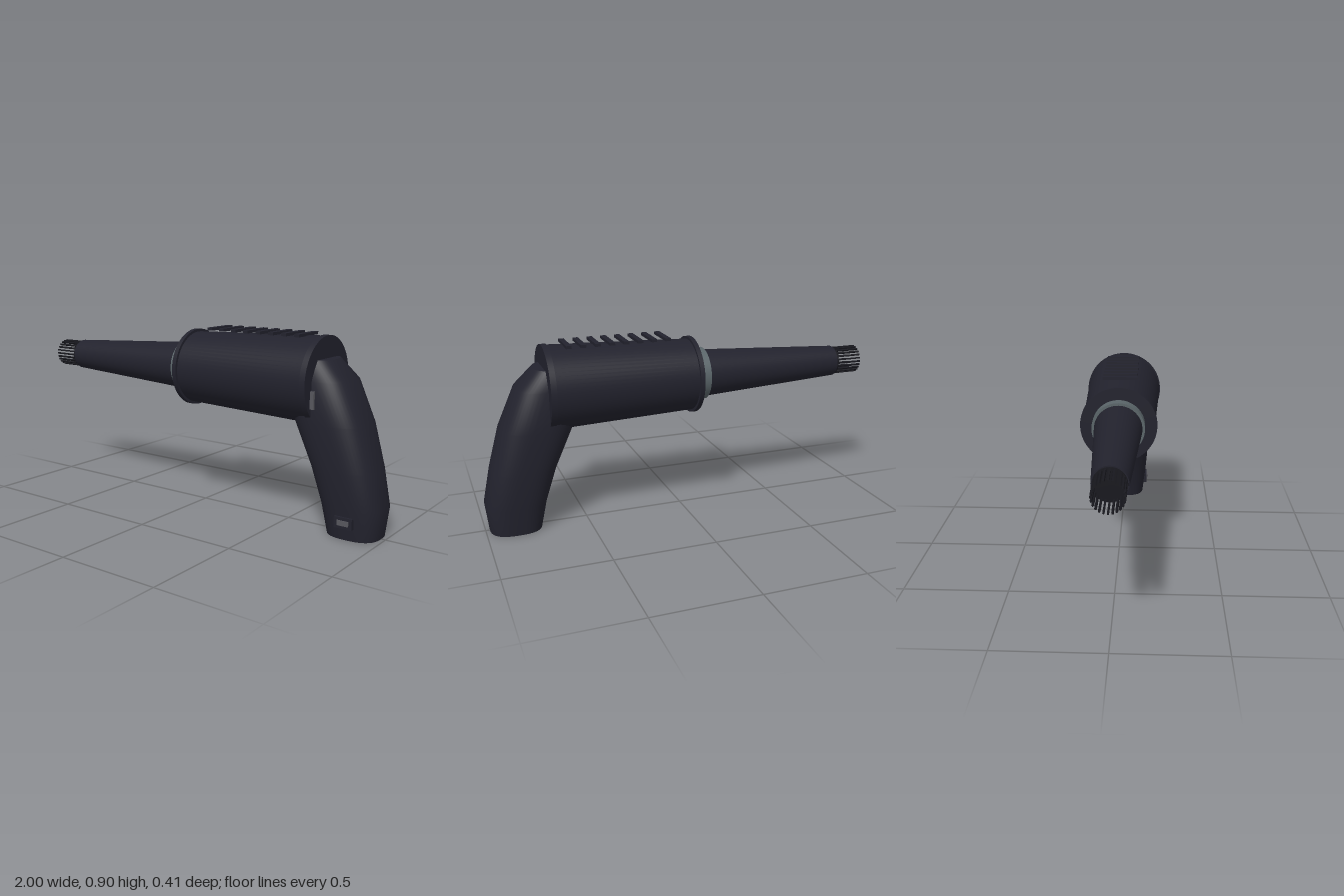
import * as THREE from 'three';

const mat = (name, color) => {
  const m = new THREE.MeshStandardMaterial({ color });
  m.name = name;
  return m;
};

const AXIS_Y = 0.687; // height of the barrel axis

export function createModel() {
  const root = new THREE.Group();
  root.name = 'hotAirTool';
  const shell = mat('dark shell', 0x22222d);
  const black = mat('black metal', 0x18181e);
  const collarGrey = mat('collar grey', 0x5a6569);
  const switchGrey = mat('switch grey', 0x56565c);

  const add = (name, geo, material, parent = root) => {
    const m = new THREE.Mesh(geo, material);
    m.name = name;
    parent.add(m);
    return m;
  };
  // Round part along x, from x0 (radius r0) to x1 (radius r1)
  const barrel = (name, x0, x1, r0, r1, material) => {
    const g = new THREE.CylinderGeometry(r0, r1, x1 - x0, 64);
    g.rotateZ(Math.PI / 2);
    g.translate((x0 + x1) / 2, AXIS_Y, 0);
    return add(name, g, material);
  };
  const box = (name, x, y, z, w, h, d, material, parent) => {
    const g = new THREE.BoxGeometry(w, h, d);
    g.translate(x, y, z);
    return add(name, g, material, parent);
  };

  // Barrel
  barrel('body', -0.045, 0.665, 0.177, 0.202, shell);
  barrel('rearFlange', 0.657, 0.685, 0.206, 0.206, shell);
  barrel('frontFlange', -0.064, -0.042, 0.19, 0.19, shell);
  barrel('collar', -0.122, -0.06, 0.13, 0.13, collarGrey);
  barrel('nozzle', -0.858, -0.115, 0.078, 0.118, shell);
  barrel('nozzleRing', -0.868, -0.85, 0.073, 0.073, black);

  // Open cage of thin bars at the tip
  const cage = new THREE.Group();
  cage.name = 'tipCage';
  root.add(cage);
  const bars = 24;
  for (let i = 0; i < bars; i++) {
    const g = new THREE.BoxGeometry(0.14, 0.008, 0.008);
    g.translate(-0.93, 0.067, 0);
    g.rotateX((i / bars) * Math.PI * 2);
    g.translate(0, AXIS_Y, 0);
    add('tipBar', g, black, cage);
  }

  // Cooling slats above the body
  const slats = new THREE.Group();
  slats.name = 'coolingSlats';
  root.add(slats);
  for (let i = 0; i < 8; i++)
    box('slat', 0.089 + i * 0.0688, 0.89, 0, 0.026, 0.014, 0.174, shell, slats);

  // Handle: rounded sections [y, xMin, xMax, half depth]
  const sections = [
    [0, 0.73, 0.98, 0.11],
    [0.14, 0.7, 0.996, 0.127],
    [0.31, 0.645, 0.96, 0.141],
    [0.51, 0.555, 0.905, 0.148],
    [0.7, 0.5, 0.82, 0.145],
    [0.79, 0.48, 0.73, 0.108],
  ];
  const N = 48;
  const soft = (v) => Math.sign(v) * Math.abs(v) ** 0.75;
  const ring = ([y, x0, x1, d]) => Array.from({ length: N }, (_, j) => {
    const a = (j / N) * Math.PI * 2;
    return [(x0 + x1) / 2 + ((x1 - x0) / 2) * soft(Math.cos(a)), y, d * soft(Math.sin(a))];
  });
  const surface = (points, index) => {
    const g = new THREE.BufferGeometry();
    g.setAttribute('position', new THREE.Float32BufferAttribute(points.flat(), 3));
    g.setIndex(index);
    g.computeVertexNormals();
    return g;
  };
  const handle = new THREE.Group();
  handle.name = 'handle';
  root.add(handle);
  const side = [];
  for (let i = 0; i < sections.length - 1; i++)
    for (let j = 0; j < N; j++) {
      const k = (j + 1) % N;
      const a = i * N + j, b = a + N, c = (i + 1) * N + k, d = i * N + k;
      side.push(a, b, c, a, c, d);
    }
  add('grip', surface(sections.flatMap(ring), side), shell, handle);
  const cap = (name, s, up) => {
    const index = [];
    for (let j = 0; j < N; j++) {
      const k = (j + 1) % N;
      index.push(N, up ? k : j, up ? j : k);
    }
    add(name, surface([...ring(s), [(s[1] + s[2]) / 2, s[0], 0]], index), shell, handle);
  };
  cap('gripBottom', sections[0], false);
  cap('gripTop', sections[sections.length - 1], true);

  // Trigger switch and indicator on the front face of the handle
  box('triggerSwitch', 0.688, 0.62, 0.143, 0.032, 0.08, 0.026, switchGrey);
  box('indicatorFrame', 0.854, 0.085, 0.115, 0.088, 0.052, 0.038, shell);
  box('indicator', 0.854, 0.085, 0.134, 0.056, 0.024, 0.009, switchGrey);
  return root;
}
